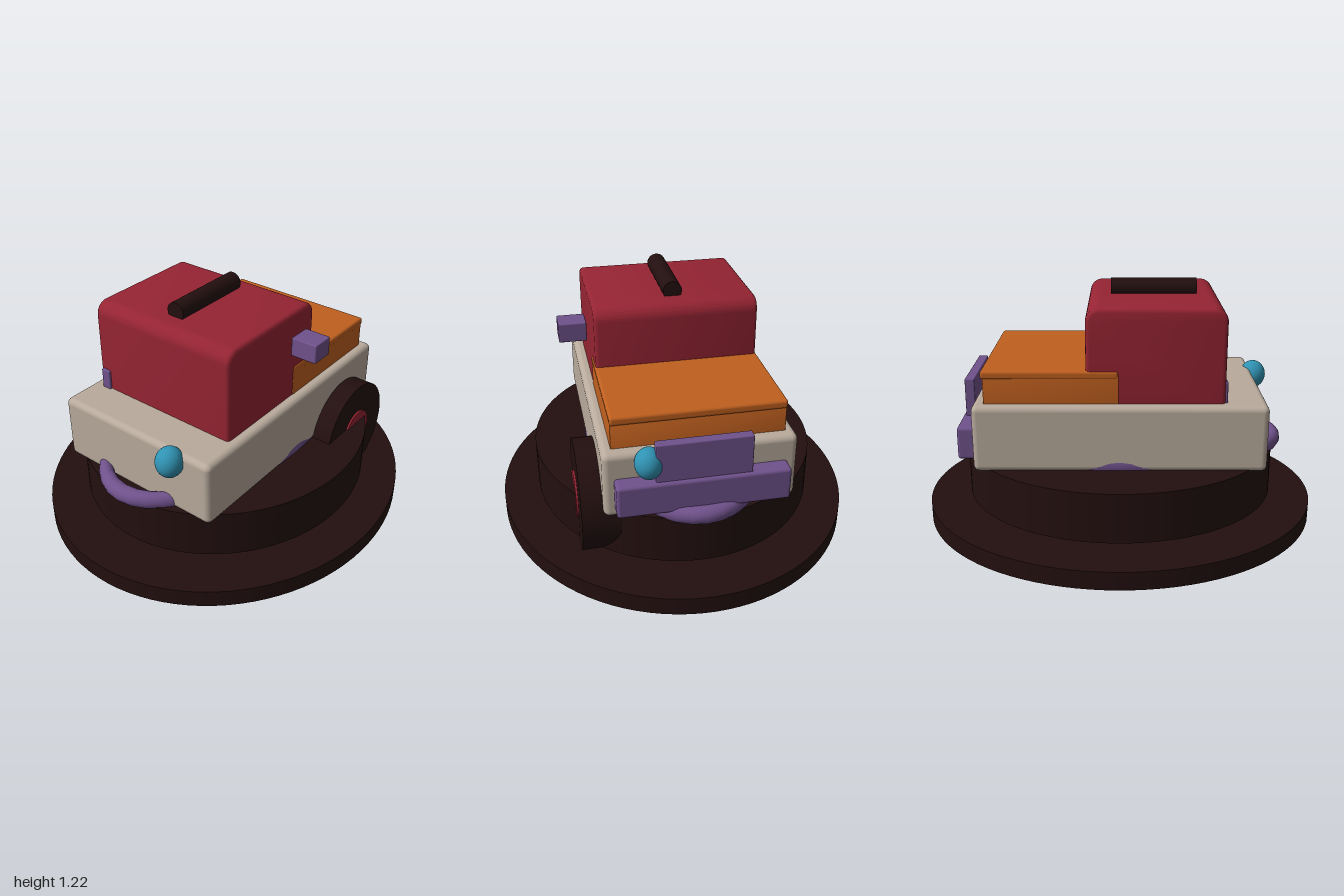
import * as THREE from 'three';
import { toCreasedNormals } from 'three/addons/utils/BufferGeometryUtils.js';
import { RoundedBoxGeometry } from 'three/addons/geometries/RoundedBoxGeometry.js';

const material = (name, color) => {
  const m = new THREE.MeshStandardMaterial({ color });
  m.name = name;
  return m;
};

// Extrudes a side profile along z, centred, with small rounded edges.
function extrudeProfile(shape, halfDepth, bevel) {
  const g = new THREE.ExtrudeGeometry(shape, {
    depth: 2 * (halfDepth - bevel), bevelEnabled: true, bevelSize: bevel,
    bevelThickness: bevel, bevelOffset: -bevel, bevelSegments: 3, curveSegments: 8,
  });
  g.translate(0, 0, -(halfDepth - bevel));
  return toCreasedNormals(g, 0.6);
}

// Rectangle with rounded top corners.
function roundedTop(x0, x1, y0, y1, r) {
  const s = new THREE.Shape();
  s.moveTo(x0, y0);
  s.lineTo(x1, y0);
  s.lineTo(x1, y1 - r);
  s.absarc(x1 - r, y1 - r, r, 0, Math.PI / 2, false);
  s.absarc(x0 + r, y1 - r, r, Math.PI / 2, Math.PI, false);
  s.closePath();
  return s;
}

export function createModel() {
  const model = new THREE.Group();
  model.name = 'toyTruckOnStand';

  const dark = material('dark brown', 0x230f0f);
  const red = material('deep red', 0x962433);
  const orange = material('burnt orange', 0xc0601f);
  const beige = material('warm beige', 0xb9ab9d);
  const purple = material('muted purple', 0x70528c);
  const teal = material('teal blue', 0x3093b3);

  const add = (name, geometry, mat, x = 0, y = 0, z = 0) => {
    const mesh = new THREE.Mesh(geometry, mat);
    mesh.name = name;
    mesh.position.set(x, y, z);
    model.add(mesh);
    return mesh;
  };
  // Box given by its limits, optionally with rounded edges.
  const box = (name, mat, [x0, x1], [y0, y1], [z0, z1], r = 0) => {
    const size = [x1 - x0, y1 - y0, z1 - z0];
    const g = r ? new RoundedBoxGeometry(...size, 3, r) : new THREE.BoxGeometry(...size);
    return add(name, g, mat, (x0 + x1) / 2, (y0 + y1) / 2, (z0 + z1) / 2);
  };
  const disc = (rx, rz, h) => new THREE.CylinderGeometry(1, 1, h, 96).scale(rx, 1, rz);

  // Oval stand and the drum above it
  add('standBase', disc(1, 0.9, 0.09), dark, 0, 0.045, 0);
  add('standDrum', disc(0.79, 0.715, 0.245), dark, 0, 0.2525, 0);

  // Body
  box('body', beige, [-0.705, 0.7], [0.365, 0.695], [-0.45, 0.45], 0.03);

  // Cab
  add('cab', extrudeProfile(roundedTop(-0.5, 0.16, 0.6, 1.15, 0.065), 0.4, 0.02), red);

  // Hood, with a lip overhanging its front
  add('hood', extrudeProfile(roundedTop(0.005, 0.644, 0.6, 0.83, 0.005), 0.403, 0.004), orange);
  box('hoodLip', orange, [0.005, 0.654], [0.812, 0.855], [-0.405, 0.405], 0.014);

  // Roof bar
  add('roofBar', new THREE.CylinderGeometry(0.047, 0.047, 0.425, 32).rotateZ(Math.PI / 2),
    dark, -0.1675, 1.175, 0);

  // Side mirror and rear lamp
  box('mirror', purple, [-0.062, 0.057], [0.955, 1.05], [0.425, 0.56], 0.006);
  box('rearLamp', purple, [-0.512, -0.45], [0.67, 0.797], [-0.385, -0.333], 0.008);

  // Grille and bumper
  box('grille', purple, [0.715, 0.763], [0.5, 0.76], [-0.22, 0.22], 0.006);
  box('bumper', purple, [0.69, 0.78], [0.41, 0.572], [-0.4, 0.4], 0.016);

  // Oval rail around the underside
  const rail = new THREE.TorusGeometry(0.797, 0.043, 16, 40).rotateX(Math.PI / 2);
  add('rail', rail.scale(1, 1, 0.454 / 0.84), purple, 0, 0.393, 0);

  // Lamps at both ends
  for (const x of [-0.725, 0.72]) {
    const lamp = new THREE.SphereGeometry(1, 32, 20).scale(0.068, 0.075, 0.066);
    add(x > 0 ? 'frontLamp' : 'backLamp', lamp, teal, x, 0.65, 0.245);
  }

  // Wheel and hub
  const wheel = (r, depth) => new THREE.CylinderGeometry(r, r, depth, 48).rotateX(Math.PI / 2);
  add('wheel', wheel(0.27, 0.18), dark, 0.412, 0.317, 0.46);
  add('wheelHub', wheel(0.112, 0.19), red, 0.415, 0.322, 0.465);

  return model;
}
